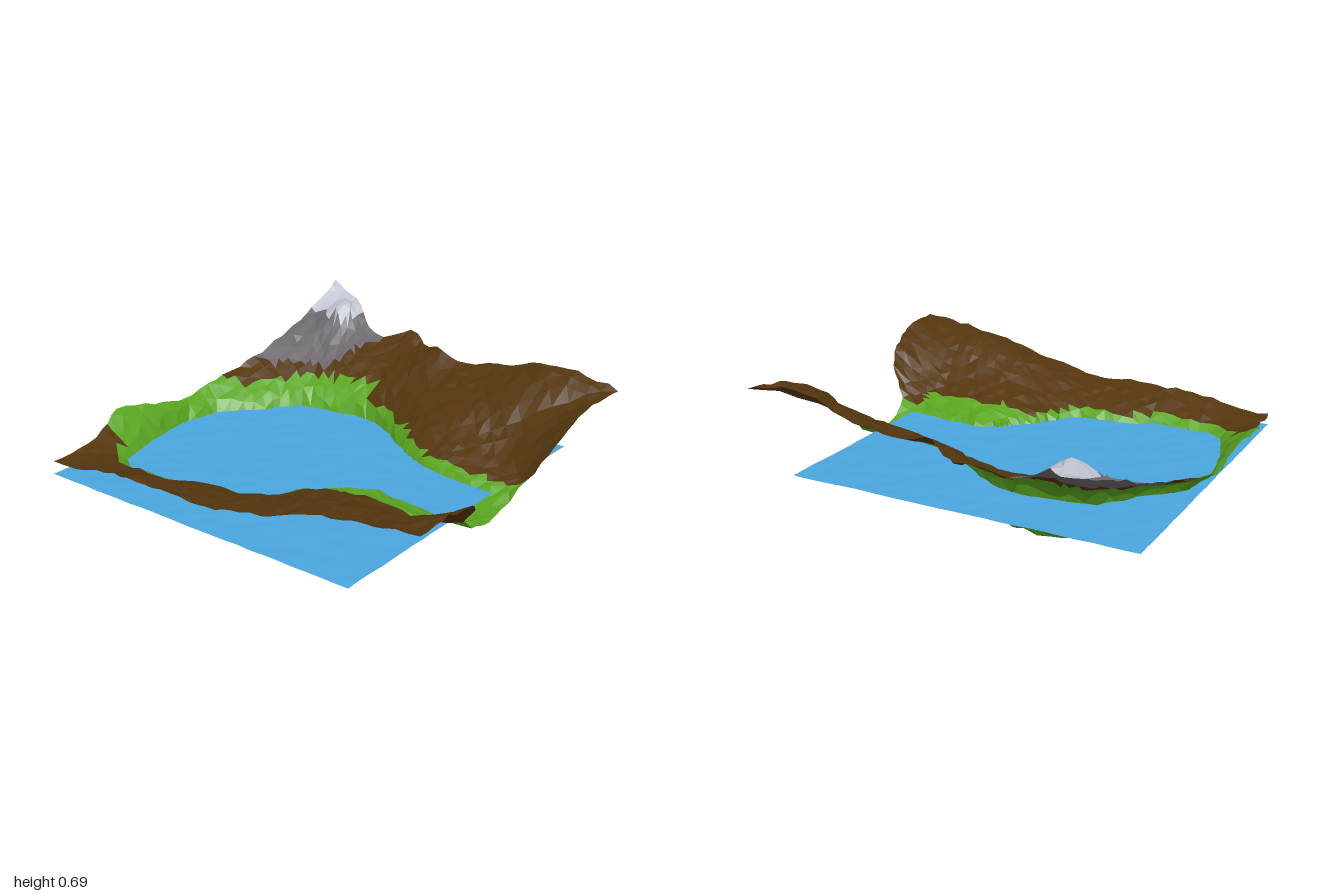
import * as THREE from 'three';

const N = 40;            // grid cells per side
const WATER = 0.255;     // lake level

// Rim of the land as four edges [x, y, z]
const edge = (pts) => {
  const c = new THREE.CatmullRomCurve3(pts.map((p) => new THREE.Vector3(...p)), false, 'centripetal');
  c.arcLengthDivisions = 600;
  return c.getSpacedPoints(N);
};
const back = edge([[-0.91, 0.7, -0.99], [-0.82, 0.65, -0.96], [-0.72, 0.62, -0.92], [-0.6, 0.56, -0.82],
  [-0.47, 0.52, -0.77], [-0.38, 0.53, -0.79], [-0.29, 0.57, -0.83], [-0.18, 0.53, -0.76], [-0.02, 0.57, -0.67],
  [0.08, 0.53, -0.65], [0.35, 0.57, -0.66], [0.65, 0.64, -0.61], [0.94, 0.6, -0.59]]);
const front = edge([[-0.92, 0.31, 0.96], [-0.75, 0.32, 0.96], [-0.6, 0.35, 0.96], [-0.3, 0.37, 0.97], [0, 0.37, 0.97],
  [0.3, 0.42, 0.98], [0.6, 0.5, 0.97], [0.8, 0.54, 0.98], [0.99, 0.56, 0.98]]);
const left = edge([[-0.91, 0.7, -0.99], [-0.9, 0.56, -0.68], [-0.92, 0.44, -0.35], [-0.96, 0.38, -0.1],
  [-0.97, 0.34, 0.1], [-0.96, 0.37, 0.3], [-1, 0.4, 0.53], [-0.94, 0.33, 0.7], [-0.92, 0.31, 0.96]]);
const right = edge([[0.94, 0.6, -0.59], [0.9, 0.55, -0.3], [0.87, 0.43, -0.09], [0.77, 0.27, 0.01],
  [0.76, 0.27, 0.18], [0.77, 0.29, 0.34], [0.91, 0.46, 0.5], [0.98, 0.55, 0.75], [0.99, 0.56, 0.98]]);
const rim = [...back, ...front, ...left, ...right];

// Shoreline [x, z]; it runs out past the right edge as a channel
const shore = [[-0.89, 0.2], [-0.87, 0.05], [-0.83, -0.02], [-0.73, -0.1], [-0.65, -0.22], [-0.58, -0.3],
  [-0.42, -0.33], [-0.27, -0.35], [-0.13, -0.32], [0, -0.24], [0.13, -0.14], [0.28, -0.06], [0.4, -0.03],
  [0.68, -0.01], [1, -0.01], [1, 0.31], [0.68, 0.31], [0.45, 0.29], [0.3, 0.27], [0.18, 0.33], [0.05, 0.46],
  [-0.02, 0.58], [-0.1, 0.64], [-0.33, 0.65], [-0.42, 0.72], [-0.72, 0.72], [-0.78, 0.68], [-0.83, 0.55], [-0.87, 0.4]];

// Distance to the shoreline, positive on land and negative in the lake
function shoreDistance(x, z) {
  let best = Infinity, inside = false;
  shore.forEach(([ax, az], i) => {
    const [bx, bz] = shore[(i + 1) % shore.length];
    const dx = bx - ax, dz = bz - az;
    const t = THREE.MathUtils.clamp(((x - ax) * dx + (z - az) * dz) / (dx * dx + dz * dz), 0, 1);
    best = Math.min(best, Math.hypot(x - ax - t * dx, z - az - t * dz));
    if ((az > z) !== (bz > z) && x < ax + ((z - az) / dz) * dx) inside = !inside;
  });
  return inside ? -best : best;
}

// Lake floor rises in the outflow channel
const floorStops = [[-1, 0.008], [0.24, 0.02], [0.3, 0.1], [0.42, 0.14], [0.6, 0.17], [0.75, 0.205], [1, 0.22]];
function floorHeight(x) {
  const i = Math.max(1, floorStops.findIndex((s) => s[0] >= x));
  const [ax, ay] = floorStops[i - 1], [bx, by] = floorStops[i];
  return ay + (by - ay) * (x - ax) / (bx - ax);
}

// Rounded lake basin: shallow dish with sloping sides
function basinHeight(x, z) {
  const r = Math.hypot((x + 0.23) / 0.48, (z - 0.215) / 0.45);
  return r < 1 ? 0.005 + 0.02 * r * r : 0.025 + (r - 1) * 0.6;
}

const bump = (x, z, cx, cz, rx, rz) => Math.exp(-(((x - cx) / rx) ** 2 + ((z - cz) / rz) ** 2));

function height(x, z) {
  const d = shoreDistance(x, z);
  if (d < 0) {
    const s = Math.min(1, -d / 0.115);
    const y = WATER + (floorHeight(x) - WATER) * (1 - Math.pow(1 - s, 1.4));
    return x < 0.24 ? Math.max(y, Math.min(basinHeight(x, z), WATER - 0.09 * s)) : y;
  }
  // Land climbs from the shore to the nearby rim height
  let sum = 0, weight = 0, nearest = Infinity;
  for (const p of rim) {
    const q = Math.hypot(p.x - x, p.z - z), w = 1 / (q ** 4 + 1e-9);
    nearest = Math.min(nearest, q);
    sum += w * p.y;
    weight += w;
  }
  const land = WATER + (sum / weight - WATER) * Math.pow(d / (d + nearest + 1e-6), 0.6);
  // Second summit set in from the corner peak, and a crest behind the front edge
  return land + 0.1 * bump(x, z, -0.7, -0.76, 0.1, 0.12) + 0.045 * bump(x, z, 0.45, 0.83, 0.32, 0.13);
}

// Seeded noise in -1..1
let seed = 7;
const noise = () => {
  seed = (seed * 16807) % 2147483647;
  return (seed / 2147483647) * 2 - 1;
};

// Which ground covers a face
function cover(x, y, z) {
  const d = shoreDistance(x, z);
  if (d < 0) return y < 0.04 && Math.hypot((x + 0.2) / 0.36, (z - 0.2) / 0.3) < 1 ? 'lakeBed' : 'grass';
  if (z < -0.34 && x + 0.5 * z < -0.82 && y > 0.41) return y > 0.59 && x < -0.62 ? 'snow' : 'rock';
  let band = 0.045;
  if (x < -0.8 && z > -0.13 && z < 0.62) band = 0.3;
  else if (x < -0.27 && z < 0) band = 0.13;
  else if (x > 0.1 && x < 0.68 && z > 0.2 && z < 0.47) band = 0.16;
  return d < band ? 'grass' : 'earth';
}

const colors = { lakeBed: 0x4a2d0c, grass: 0x5aa520, earth: 0x54360e, rock: 0x6c676d, snow: 0xc2c6d2 };
const material = (color) => new THREE.MeshStandardMaterial({ color, flatShading: true, side: THREE.DoubleSide });

function createLand() {
  // Grid stretched between the four edges
  const grid = [];
  for (let j = 0; j <= N; j++) {
    const v = j / N;
    for (let i = 0; i <= N; i++) {
      const u = i / N;
      const blend = (k) => (1 - v) * back[i][k] + v * front[i][k] + (1 - u) * left[j][k] + u * right[j][k]
        - (1 - u) * (1 - v) * back[0][k] - u * (1 - v) * back[N][k]
        - (1 - u) * v * front[0][k] - u * v * front[N][k];
      const x = blend('x') + noise() * 0.006, z = blend('z') + noise() * 0.006;
      grid.push(new THREE.Vector3(x, Math.max(0, height(x, z) + noise() * 0.007), z));
    }
  }
  // Sort the triangles by ground cover
  const faces = Object.fromEntries(Object.keys(colors).map((k) => [k, []]));
  const addFace = (...ids) => {
    const [a, b, c] = ids.map((i) => grid[i]);
    const m = new THREE.Vector3().add(a).add(b).add(c).divideScalar(3);
    for (const p of [a, b, c]) faces[cover(m.x, m.y, m.z)].push(p.x, p.y, p.z);
  };
  for (let j = 0; j < N; j++) {
    for (let i = 0; i < N; i++) {
      const a = j * (N + 1) + i, b = a + 1, c = a + N + 1, d = c + 1;
      if ((i + j) % 2) { addFace(a, c, b); addFace(b, c, d); }
      else { addFace(a, c, d); addFace(a, d, b); }
    }
  }
  const land = new THREE.Group();
  land.name = 'land';
  for (const [name, points] of Object.entries(faces)) {
    const geometry = new THREE.BufferGeometry();
    geometry.setAttribute('position', new THREE.Float32BufferAttribute(points, 3));
    geometry.computeVertexNormals();
    const mesh = new THREE.Mesh(geometry, material(colors[name]));
    mesh.name = name;
    land.add(mesh);
  }
  return land;
}

// Square sheet of water with faint ripples
function createWater() {
  const geometry = new THREE.PlaneGeometry(1.6, 1.6, 24, 24).rotateX(-Math.PI / 2);
  const p = geometry.attributes.position;
  for (let i = 0; i < p.count; i++) p.setY(i, noise() * 0.002);
  geometry.computeVertexNormals();
  const water = new THREE.Mesh(geometry, material(0x4aa6de));
  water.name = 'water';
  water.position.set(-0.115, WATER, 0.17);
  return water;
}

export function createModel() {
  seed = 7;
  const model = new THREE.Group();
  model.name = 'mountainLake';
  model.add(createLand(), createWater());
  return model;
}
